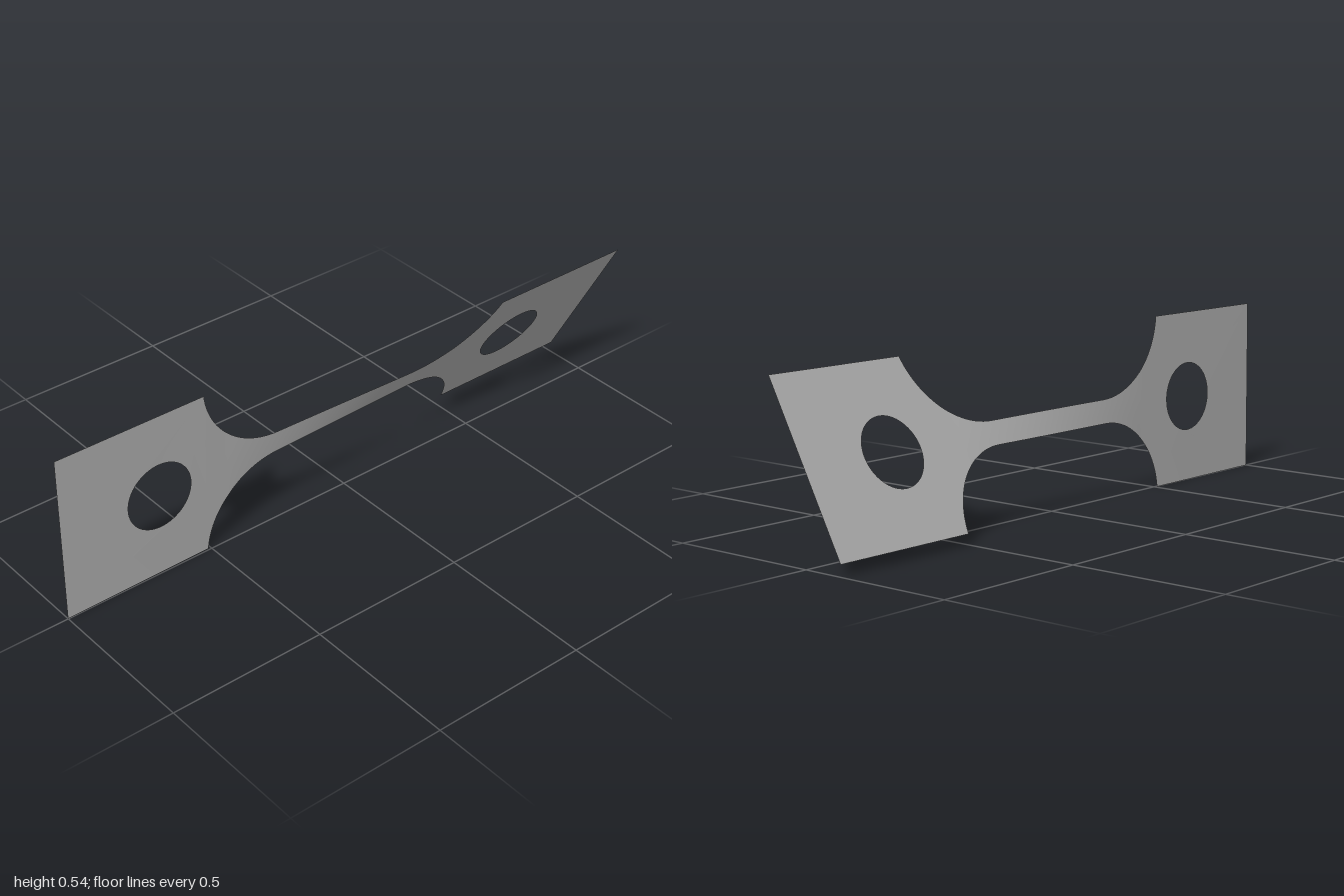
import * as THREE from 'three';

const HALF = 0.271;       // half height of the end plates
const NECK = 0.037;       // half height of the neck
const FILLET = 0.26;      // fillet radius
const FILLET_X = 0.25;    // where the fillets meet the straight neck
const HOLE_X = 0.67, HOLE_R = 0.108;
const PHI = Math.acos((NECK + FILLET - HALF) / FILLET);
const PLATE_X = FILLET_X + FILLET * Math.sin(PHI);

// Twist about the long axis: nearly flat plates, the neck takes the turn
function twistAt(x) {
  const t = THREE.MathUtils.clamp((x + 0.43) / 0.83, 0, 1);
  const eased = 0.65 * t + 0.35 * t * t * (3 - 2 * t);
  const base = 0.3 + 0.8 * THREE.MathUtils.clamp((x + 1) / 0.5, 0, 1);
  return THREE.MathUtils.degToRad(base + (29 - base) * eased);
}

function twist(geometry) {
  const p = geometry.attributes.position;
  for (let i = 0; i < p.count; i++) {
    const v = p.getY(i), a = twistAt(p.getX(i));
    p.setXYZ(i, p.getX(i), HALF + v * Math.cos(a), v * Math.sin(a));
  }
  geometry.computeVertexNormals();
  return geometry;
}

// Rectangular end plate with a round hole
function plateGeometry(side) {
  const a = Math.min(side, side * PLATE_X), b = Math.max(side, side * PLATE_X);
  const shape = new THREE.Shape();
  shape.moveTo(a, -HALF).lineTo(b, -HALF).lineTo(b, HALF).lineTo(a, HALF).closePath();
  const hole = new THREE.Path();
  hole.absarc(side * HOLE_X, 0, HOLE_R, 0, Math.PI * 2, true);
  shape.holes.push(hole);
  return twist(new THREE.ShapeGeometry(shape, 32));
}

// Narrow neck with flared fillets, lofted from vertical columns
function neckGeometry() {
  const columns = [], arcSteps = 24, neckSteps = 30, rows = 4;
  const arc = (side, f) => {
    const phi = PHI * f;
    columns.push([side * (FILLET_X + FILLET * Math.sin(phi)), NECK + FILLET * (1 - Math.cos(phi))]);
  };
  for (let i = arcSteps; i > 0; i--) arc(-1, i / arcSteps);
  for (let i = 0; i <= neckSteps; i++) columns.push([FILLET_X * (2 * i / neckSteps - 1), NECK]);
  for (let i = 1; i <= arcSteps; i++) arc(1, i / arcSteps);

  const geometry = new THREE.PlaneGeometry(2, 2, columns.length - 1, rows);
  const p = geometry.attributes.position;
  for (let i = 0; i < p.count; i++) {
    const [x, w] = columns[i % columns.length];
    p.setXYZ(i, x, p.getY(i) * w, 0);
  }
  return twist(geometry);
}

export function createModel() {
  const model = new THREE.Group();
  model.name = 'twistedStrap';
  const steel = new THREE.MeshStandardMaterial({ color: 0xb0b0b0, side: THREE.DoubleSide });
  steel.name = 'grey steel';
  const add = (name, geometry) => {
    const mesh = new THREE.Mesh(geometry, steel);
    mesh.name = name;
    model.add(mesh);
  };
  add('rightPlate', plateGeometry(-1));
  add('leftPlate', plateGeometry(1));
  add('neck', neckGeometry());
  return model;
}
